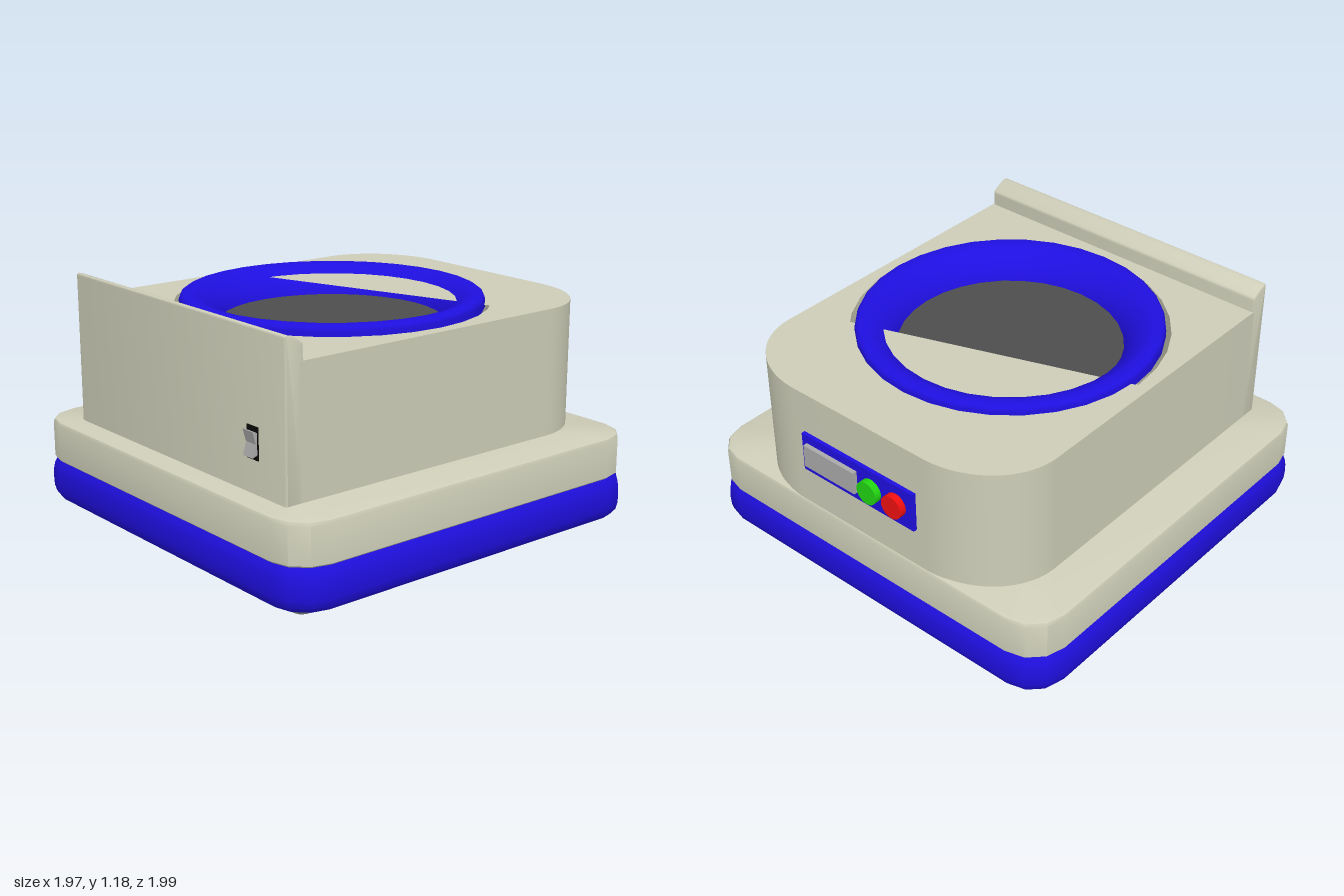
import * as THREE from 'three';
import { toCreasedNormals } from 'three/addons/utils/BufferGeometryUtils.js';

const CREAM = 0xcdcdb8, BLUE = 0x1f0fe0, DARK = 0x4d4d4d, GREY = 0x707070;

function paint(color, side = THREE.FrontSide) {
  return new THREE.MeshStandardMaterial({ color, side });
}

// Stack of rounded rectangles; profile rows are [inset, y], bottom to top
function roundedSlab(halfW, halfD, radius, steps, profile, crease) {
  const pos = [], index = [];
  const n = 4 * (steps + 1);
  for (const [inset, y] of profile) {
    const r = radius - inset;
    for (let q = 0; q < 4; q++) {
      const cx = (q === 0 || q === 3 ? 1 : -1) * (halfW - radius);
      const cz = (q < 2 ? 1 : -1) * (halfD - radius);
      for (let s = 0; s <= steps; s++) {
        const a = (q + s / steps) * Math.PI / 2;
        pos.push(cx + r * Math.cos(a), y, cz + r * Math.sin(a));
      }
    }
  }
  const last = profile.length - 1;
  pos.push(0, profile[0][1], 0, 0, profile[last][1], 0);
  const bottom = n * profile.length, top = bottom + 1;
  for (let i = 0; i < n; i++) {
    const j = (i + 1) % n;
    for (let k = 0; k < last; k++) {
      const a = k * n + i, b = a + n, c = (k + 1) * n + j, d = k * n + j;
      index.push(a, b, c, a, c, d);
    }
    index.push(bottom, i, j, top, last * n + j, last * n + i);
  }
  const g = new THREE.BufferGeometry();
  g.setAttribute('position', new THREE.Float32BufferAttribute(pos, 3));
  g.setIndex(index);
  return toCreasedNormals(g, crease);
}

export function createModel() {
  const model = new THREE.Group();
  function add(name, geometry, material, x = 0, y = 0, z = 0) {
    const mesh = new THREE.Mesh(geometry, material);
    mesh.name = name;
    mesh.position.set(x, y, z);
    model.add(mesh);
    return mesh;
  }
  const cream = paint(CREAM), blue = paint(BLUE);

  // Feet
  for (const x of [-0.7, 0.7]) for (const z of [-0.71, 0.745])
    add('foot', new THREE.CylinderGeometry(0.07, 0.045, 0.11, 20), paint(GREY), x, 0.055, z);

  // Soft blue base and cream deck
  add('base', roundedSlab(0.985, 0.98, 0.18, 3, [
    [0.055, 0.1], [0.028, 0.108], [0.01, 0.13], [0.002, 0.16], [0, 0.2],
    [0.002, 0.24], [0.008, 0.27], [0.025, 0.3]], 0.7), blue, 0, 0, 0.01);
  add('deck', roundedSlab(0.972, 0.97, 0.175, 3, [
    [0.012, 0.295], [0, 0.305], [0, 0.47], [0.006, 0.484], [0.02, 0.49]], 0.5), cream, 0, 0, 0.012);

  // Housing with rounded back corners and a round well
  const outline = new THREE.Shape();
  outline.moveTo(-0.765, -0.8);
  outline.lineTo(0.765, -0.8);
  outline.lineTo(0.765, 0.6);
  outline.absellipse(0.365, 0.6, 0.4, 0.35, 0, Math.PI / 2, false);
  outline.lineTo(-0.365, 0.95);
  outline.absellipse(-0.365, 0.6, 0.4, 0.35, Math.PI / 2, Math.PI, false);
  outline.closePath();
  const well = new THREE.Path();
  well.absarc(0, -0.01, 0.71, 0, Math.PI * 2, true);
  outline.holes.push(well);
  const housing = new THREE.ExtrudeGeometry(outline, { depth: 0.59, bevelEnabled: false, curveSegments: 16 });
  housing.rotateX(-Math.PI / 2);
  add('housing', toCreasedNormals(housing, 0.5), cream, 0, 0.48, 0);

  // Flat cover over the back segment of the well
  const segment = new THREE.Shape();
  segment.absarc(0, -0.01, 0.712, 0.686, Math.PI - 0.014, false);
  const cover = new THREE.ShapeGeometry(segment, 20);
  cover.rotateX(-Math.PI / 2);
  add('wellCover', cover, paint(CREAM, THREE.DoubleSide), 0, 1.07, 0);

  // Upright front panel with a sloping top lip
  const lip = new THREE.Shape();
  lip.moveTo(0.78, 0.48);
  lip.lineTo(0.873, 0.48);
  lip.lineTo(0.873, 1.17);
  lip.quadraticCurveTo(0.873, 1.182, 0.86, 1.18);
  lip.quadraticCurveTo(0.815, 1.168, 0.79, 1.147);
  lip.quadraticCurveTo(0.78, 1.142, 0.78, 1.13);
  lip.closePath();
  const panel = new THREE.ExtrudeGeometry(lip, {
    depth: 1.51, bevelThickness: 0.01, bevelSize: 0.01, bevelOffset: -0.01, bevelSegments: 2, curveSegments: 6 });
  panel.rotateY(-Math.PI / 2);
  panel.scale(1, 1, 1).translate(0.755, 0, 0);
  add('frontPanel', toCreasedNormals(panel, 0.5), cream);

  // Funnel ring and the dark plate at its bottom
  const rim = [[0.685, 1.05], [0.685, 1.085], [0.68, 1.1], [0.665, 1.11], [0.63, 1.11], [0.6, 1.1],
    [0.56, 1.07], [0.53, 1.035], [0.51, 1], [0.5, 0.96]].map(([x, y]) => new THREE.Vector2(x, y));
  add('funnelRing', new THREE.LatheGeometry(rim, 32), paint(BLUE, THREE.DoubleSide), 0, 0, 0.012);
  add('plate', new THREE.CylinderGeometry(0.51, 0.51, 0.03, 32), paint(DARK), 0, 0.965, 0.012);

  // Rocker switch on the front
  add('switchFrame', new THREE.BoxGeometry(0.075, 0.14, 0.02), paint(0x0a0a0a), 0.555, 0.707, 0.867);
  const wedge = new THREE.Shape();
  wedge.moveTo(0.865, 0.665);
  wedge.lineTo(0.9, 0.652);
  wedge.lineTo(0.884, 0.707);
  wedge.lineTo(0.9, 0.762);
  wedge.lineTo(0.865, 0.75);
  wedge.closePath();
  const rocker = new THREE.ExtrudeGeometry(wedge, { depth: 0.065, bevelEnabled: false });
  rocker.rotateY(-Math.PI / 2);
  add('switchRocker', rocker, paint(0xaaaaaa), 0.5875, 0, 0);

  // Control panel on the back: screen and two buttons
  add('controlPanel', new THREE.BoxGeometry(0.64, 0.19, 0.04), blue, 0, 0.775, -0.948);
  add('screen', new THREE.BoxGeometry(0.295, 0.11, 0.04), paint(0xaaaaaa), 0.145, 0.775, -0.969);
  for (const [name, x, color] of [['greenButton', -0.085, 0x22d411], ['redButton', -0.225, 0xf01010]]) {
    const button = new THREE.CylinderGeometry(0.055, 0.055, 0.05, 24);
    button.rotateX(Math.PI / 2);
    add(name, button, paint(color), x, 0.775, -0.975);
  }
  return model;
}
